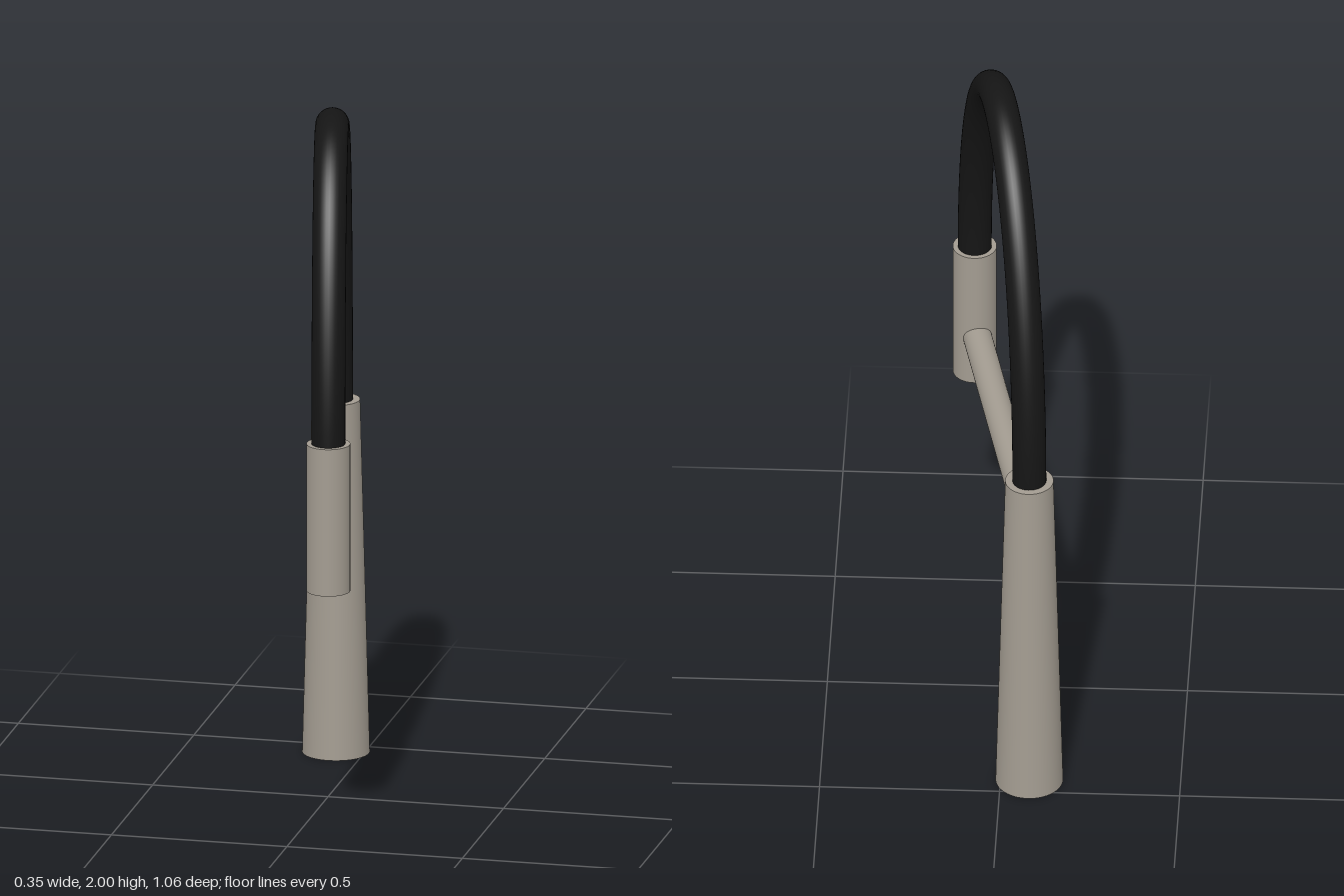
import * as THREE from 'three';

export function createModel() {
  const group = new THREE.Group();
  const metal = new THREE.MeshStandardMaterial({ color: 0xa39c91 });
  const rubber = new THREE.MeshStandardMaterial({ color: 0x151515 });

  // Ground positions of the two upright parts
  const base = new THREE.Vector3(-0.08, 0, -0.437);
  const head = new THREE.Vector3(0.111, 0, 0.469);

  const add = (name, geometry, material) => {
    const mesh = new THREE.Mesh(geometry, material);
    mesh.name = name;
    group.add(mesh);
    return mesh;
  };

  // Upright cylinder or cone between two heights
  const upright = (name, at, rTop, rBottom, y0, y1) =>
    add(name, new THREE.CylinderGeometry(rTop, rBottom, y1 - y0, 64), metal)
      .position.set(at.x, (y0 + y1) / 2, at.z);

  upright('taperedBase', base, 0.067, 0.094, 0, 1.02);
  upright('sprayHead', head, 0.061, 0.061, 0.74, 1.165);

  // Support arm joining the base to the spray head
  const start = base.clone().setY(0.885);
  const end = head.clone().setY(0.885);
  const span = end.clone().sub(start);
  const arm = add('supportArm', new THREE.CylinderGeometry(0.04, 0.04, span.length(), 40), metal);
  arm.position.copy(start).lerp(end, 0.5);
  arm.quaternion.setFromUnitVectors(new THREE.Vector3(0, 1, 0), span.normalize());

  // Hose: two quarter ellipses that meet at the apex, set slightly into both ends
  const apex = 0.547, apexY = 1.953;
  const points = [base.clone().setY(0.98)];
  const steps = 40;
  for (let i = 0; i <= steps; i++) {
    const a = Math.PI * (1 - i / steps);
    const c = Math.cos(a);
    const t = apex + c * (c < 0 ? apex : 1 - apex);
    const footY = c < 0 ? 1.02 : 1.165;
    const p = base.clone().lerp(head, t);
    p.y = footY + (apexY - footY) * Math.sin(a);
    points.push(p);
  }
  points.push(head.clone().setY(1.125));
  const path = new THREE.CatmullRomCurve3(points);
  add('hose', new THREE.TubeGeometry(path, 120, 0.047, 32), rubber);

  return group;
}
